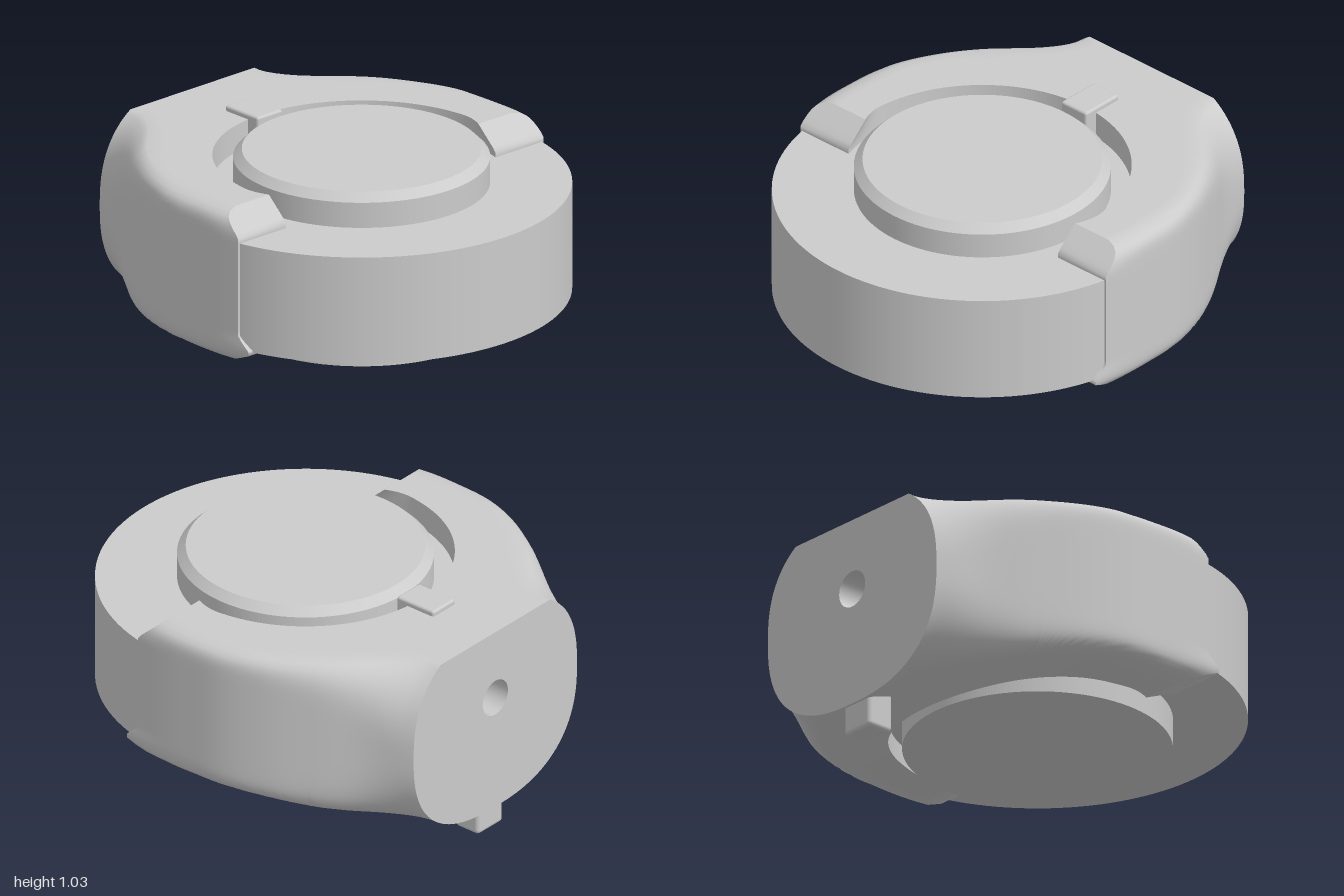
import * as THREE from 'three';
import { RoundedBoxGeometry } from 'three/addons/geometries/RoundedBoxGeometry.js';

const CX = 0.083;      // axis of the disc
const BORE = 0.65;     // radius of the clamp opening
const TOP = 1.0;       // flat top of the clamp
const ARM_END = 0.27;
const material = new THREE.MeshStandardMaterial({ color: 0xcccccc });

function add(parent, name, geometry, x = 0, y = 0, z = 0) {
  const mesh = new THREE.Mesh(geometry, material);
  mesh.name = name;
  mesh.position.set(x, y, z);
  parent.add(mesh);
  return mesh;
}

// Smooth curve through [position, value] pairs
function curve(pairs) {
  const c = new THREE.CubicInterpolant(pairs.map(p => p[0]), pairs.map(p => p[1]), 1);
  return x => c.evaluate(x)[0];
}

// Surface through rows of points; it faces column direction x row direction
function grid(rows, flip) {
  const n = rows[0].length, index = [];
  for (let i = 0; i < rows.length - 1; i++) {
    for (let j = 0; j < n - 1; j++) {
      const a = i * n + j, b = a + 1, c = a + n, d = c + 1;
      if (flip) index.push(a, c, b, b, c, d);
      else index.push(a, b, c, b, d, c);
    }
  }
  const g = new THREE.BufferGeometry();
  g.setAttribute('position', new THREE.Float32BufferAttribute(rows.flat(2), 3));
  g.setIndex(index);
  g.computeVertexNormals();
  return g;
}

// Clamp section along x: half width, underside, centre height and squareness
const halfWidth = curve([[-1, 0.55], [-0.8, 0.63], [-0.6, 0.745], [-0.4, 0.845],
  [-0.2, 0.905], [0, 0.918], [0.15, 0.917], [0.3, 0.905]]);
const underside = curve([[-1, 0.12], [-0.8, 0.185], [-0.6, 0.228], [-0.4, 0.27],
  [-0.2, 0.291], [0, 0.293], [0.3, 0.293]]);
const centreY = x => THREE.MathUtils.lerp(0.6, 0.65, THREE.MathUtils.smoothstep(x, -1, -0.2));
const squareness = x => THREE.MathUtils.lerp(2.5, 14, THREE.MathUtils.smoothstep(x, -1, -0.1));

// Where the arm stops at each height: chamfer above, lip below
const endSteps = [[0.293, 0.16], [0.375, 0.35], [0.44, 0.27], [0.9, 0.27], [1, 0.16]];
function armEnd(y) {
  for (let i = 1; i < endSteps.length; i++) {
    const [y0, e0] = endSteps[i - 1], [y1, e1] = endSteps[i];
    if (y <= y1) return THREE.MathUtils.lerp(e0, e1, Math.max(0, (y - y0) / (y1 - y0)));
  }
  return endSteps.at(-1)[1];
}

// Half section [z, y] from the inner top edge round the outside to the inner bottom edge
function section(x, inner) {
  const w = halfWidth(x), cy = centreY(x), h = cy - underside(x), n = squareness(x);
  const v = Math.min(0.9995, (TOP - cy) / h);
  const u = Math.pow(1 - Math.pow(v, n), 1 / n);
  const ui = inner / w, vi = Math.pow(1 - Math.pow(ui, n), 1 / n);
  const start = Math.atan2(v, u), end = -Math.atan2(vi, ui);
  const pts = [];
  for (let i = 0; i < 6; i++) pts.push([THREE.MathUtils.lerp(inner, u * w, i / 6), TOP]);
  for (let i = 0; i <= 48; i++) {
    const a = THREE.MathUtils.lerp(start, end, i / 48);
    const c = Math.max(0, Math.cos(a)), s = Math.sin(a);
    const k = Math.pow(Math.pow(c, n) + Math.pow(Math.abs(s), n), -1 / n);
    pts.push([w * c * k, cy + h * s * k]);
  }
  return pts;
}

function buildClamp() {
  const clamp = new THREE.Group();
  clamp.name = 'clamp';

  // Stations: solid neck, then the two arms around the opening
  const stations = [];
  for (let i = 0; i < 12; i++) {
    stations.push([THREE.MathUtils.lerp(-1, CX - BORE, i / 12), 0]);
  }
  const sweep = Math.acos((CX - ARM_END) / BORE);
  for (let i = 0; i <= 32; i++) {
    const t = sweep * i / 32;
    stations.push([CX - BORE * Math.cos(t), BORE * Math.sin(t)]);
  }
  const sections = stations.map(([x, inner]) => section(x, inner));
  const bend = (x, y) => (x > 0 ? x * armEnd(y) / ARM_END : x);

  for (const side of [1, -1]) {
    const label = side > 0 ? 'left' : 'right', mirrored = side < 0;
    const outer = sections.map((s, i) =>
      s.map(([z, y]) => [bend(stations[i][0], y), y, side * z]));
    const wall = sections.map((s, i) =>
      s.map(([, y]) => [bend(stations[i][0], y), y, side * stations[i][1]]));
    add(clamp, label + 'ClampShell', grid(outer, mirrored));
    add(clamp, label + 'ClampInnerWall', grid(wall.slice(12), !mirrored));
    add(clamp, label + 'ArmEnd', grid([outer.at(-1), wall.at(-1)], mirrored));
  }

  // Flat mounting face with a blind hole
  const half = sections[0];
  const outline = [...half, ...half.slice(1, -1).reverse().map(([z, y]) => [-z, y])];
  const face = new THREE.Shape(outline.map(([z, y]) => new THREE.Vector2(z, y)));
  const holeY = 0.67, holeR = 0.085, depth = 0.2;
  face.holes.push(new THREE.Path().absarc(0, holeY, holeR, 0, Math.PI * 2, true));
  add(clamp, 'mountingFace', new THREE.ShapeGeometry(face, 20).rotateY(-Math.PI / 2), -1);
  const bore = add(clamp, 'mountingHole',
    new THREE.CylinderGeometry(holeR, holeR, depth, 40, 1, true).rotateZ(Math.PI / 2),
    -1 + depth / 2, holeY);
  bore.material = material.clone();
  bore.material.side = THREE.DoubleSide;
  add(clamp, 'holeFloor', new THREE.CircleGeometry(holeR, 40).rotateY(-Math.PI / 2),
    -1 + depth, holeY);
  return clamp;
}

export function createModel() {
  const model = new THREE.Group();
  model.name = 'clampedDisc';

  // Main disc
  add(model, 'disc', new THREE.CylinderGeometry(0.917, 0.917, 0.495, 128), CX, 0.6275);

  // Upper hub with a chamfered rim, built as sharp-edged bands
  add(model, 'hubTop', new THREE.CylinderGeometry(0.522, 0.56, 0.038, 96), CX, 1.011);
  add(model, 'hubWall', new THREE.CylinderGeometry(0.56, 0.56, 0.14, 96), CX, 0.922);

  // Lower hub
  add(model, 'hubBase', new THREE.CylinderGeometry(0.59, 0.59, 0.16, 96), CX, 0.32);

  model.add(buildClamp());

  // Key on top of the neck and peg underneath
  add(model, 'topKey', new RoundedBoxGeometry(0.21, 0.14, 0.15, 3, 0.012), -0.605, 0.955);
  add(model, 'bottomPeg', new RoundedBoxGeometry(0.135, 0.3, 0.17, 4, 0.02), -0.907, 0.15);
  return model;
}
